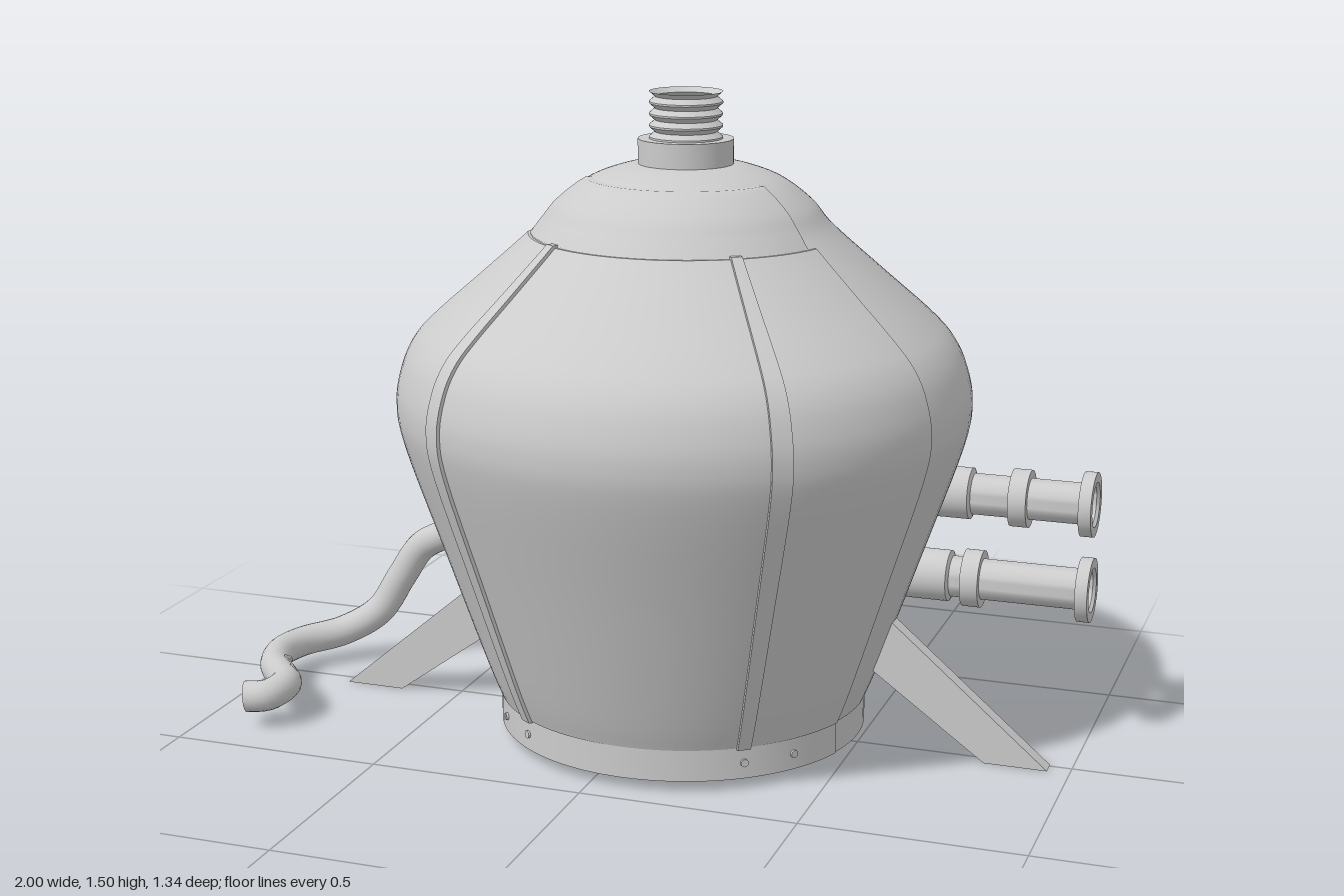
import * as THREE from 'three';
import { toCreasedNormals } from 'three/addons/utils/BufferGeometryUtils.js';

const mat = new THREE.MeshStandardMaterial({ color: 0xcccccc, side: THREE.DoubleSide });
const V2 = (p) => new THREE.Vector2(p[0], p[1]);
const V3 = (p) => new THREE.Vector3(...p);
const rad = THREE.MathUtils.degToRad;

function add(parent, name, geometry) {
  const mesh = new THREE.Mesh(geometry, mat);
  mesh.name = name;
  parent.add(mesh);
  return mesh;
}

// Full turned part with crisp corners
const turned = (pts, seg = 48) => toCreasedNormals(new THREE.LatheGeometry(pts.map(V2), seg), 0.6);

// Vessel silhouette: radius, height
const curve = new THREE.SplineCurve([
  [0.428, 0.1], [0.463, 0.19], [0.553, 0.45], [0.638, 0.7], [0.655, 0.8], [0.64, 0.88], [0.61, 0.94],
  [0.56, 0.993], [0.457, 1.083], [0.337, 1.19], [0.288, 1.248], [0.222, 1.298], [0.15, 1.326], [0.1, 1.335],
].map(V2));
const wall = curve.getPoints(78);

// Part of the wall between two heights, pushed out along its normal
function wallSlice(y0, y1, d) {
  const out = [];
  wall.forEach((p, i) => {
    if (p.y < y0 - 1e-6 || p.y > y1) return;
    const a = wall[Math.max(i - 1, 0)], b = wall[Math.min(i + 1, wall.length - 1)];
    const t = b.clone().sub(a).normalize();
    out.push([p.x + t.y * d, p.y - t.x * d]);
  });
  return out;
}

// Curved plate: outer profile thickened inward, swept between two angles (0 = front), ends capped
function plate(parent, name, outer, thick, from, to) {
  const inner = outer.map(([r, y]) => [r - thick, y]).reverse();
  const loop = [...outer, ...inner, outer[0]].map(V2);
  const seg = Math.max(2, Math.ceil((to - from) / 3));
  const group = new THREE.Group();
  group.name = name;
  parent.add(group);
  add(group, name + 'Skin', toCreasedNormals(
    new THREE.LatheGeometry(loop, seg, rad(from), rad(to - from)), 0.6));
  for (const a of [from, to]) {
    add(group, name + 'End', new THREE.ShapeGeometry(new THREE.Shape(loop))).rotation.y = rad(a - 90);
  }
}

export function createModel() {
  const model = new THREE.Group();
  const vessel = new THREE.Group();
  vessel.name = 'vessel';
  vessel.position.set(0.079, 0, 0.013);
  model.add(vessel);

  // Main shell, hollow base ring and the floor recessed above it
  add(vessel, 'shell', new THREE.LatheGeometry(wall, 96));
  add(vessel, 'baseRing', turned([[0, 0.1], [0.415, 0.1], [0.415, 0.025], [0.425, 0.025], [0.425, 0.1]], 96));

  // Front cladding, its two ribs, the hood above and the riveted band below
  plate(vessel, 'frontPanel', wallSlice(0.1, 1.18, 0.004), 0.02, -72, 72);
  for (const s of [-1, 1]) {
    const c = s * 36.3;
    plate(vessel, 'rib', wallSlice(0.1, 1.18, 0.012), 0.03, c - 2, c + 2);
  }
  plate(vessel, 'hood', [[0.35, 1.18], ...wallSlice(1.2, 1.3, 0.007)], 0.02, -68, 68);
  plate(vessel, 'frontBand', [[0.429, 0.025], [0.429, 0.1]], 0.016, -72, 72);
  for (const x of [-0.338, -0.252, 0.252, 0.338]) {
    const rivet = add(vessel, 'rivet', new THREE.CylinderGeometry(0.009, 0.009, 0.026, 12).rotateX(Math.PI / 2));
    const z = Math.sqrt(0.421 ** 2 - x * x);
    rivet.position.set(x, 0.062, z);
    rivet.rotation.y = Math.atan2(x, z);
  }

  // Rear access panel with a slightly raised centre
  plate(vessel, 'rearPanel', [[0.508, 0.195], [0.682, 0.705]], 0.05, 180 - 52.3, 180 + 52.3);
  plate(vessel, 'rearPanelCentre', [[0.522, 0.228], [0.671, 0.665]], 0.02, 180 - 47, 180 + 47);

  // Neck collar and thin zigzag threaded spout
  add(vessel, 'neckCollar', turned([[0.108, 1.32], [0.108, 1.39], [0, 1.39]]));
  const thread = [[0.083, 1.39]];
  for (let i = 0; i < 4; i++) {
    const y = 1.39 + i * 0.02625;
    thread.push([0.083, y + 0.004], [0.07, y + 0.015], [0.083, y + 0.02625]);
  }
  add(vessel, 'threadedSpout', turned(thread));

  // Two slanted side legs
  const legShape = new THREE.Shape(
    [[0.87, 0], [0.725, 0], [0.4, 0.235], [0.4, 0.31], [0.505, 0.31]].map(V2));
  for (const s of [0, Math.PI]) {
    const geo = new THREE.ExtrudeGeometry(legShape, { depth: 0.04, bevelEnabled: false });
    geo.translate(0, 0, -0.02);
    add(vessel, 'leg', geo).rotation.y = s;
  }

  // Flanged outlet pipes: base x, base end x, ring x, height
  for (const [x0, x1, ring, y] of [[0.56, 0.71, 0.805, 0.567], [0.5, 0.665, 0.7, 0.363]]) {
    const pipe = add(model, 'outletPipe', turned([
      [0, x0], [0.045, x0 + 0.01], [0.06, x0 + 0.04], [0.06, x1], [0.048, x1 + 0.005],
      [0.048, ring], [0.067, ring], [0.067, ring + 0.042], [0.048, ring + 0.042],
      [0.048, 0.968], [0.075, 0.968], [0.075, 0.997], [0.052, 0.997], [0.046, 0.99], [0.046, 0.93], [0, 0.93],
    ], 32));
    pipe.rotation.z = -Math.PI / 2;
    pipe.position.set(0, y, -0.194);
  }

  // Hose socket with two clamp rings
  const socket = add(model, 'hoseSocket', turned([
    [0, -0.06], [0.082, -0.06], [0.082, 0.085], [0.095, 0.09], [0.095, 0.108], [0.082, 0.112],
    [0.082, 0.126], [0.095, 0.13], [0.095, 0.148], [0.068, 0.152], [0.06, 0.17], [0.036, 0.175],
  ], 32));
  socket.position.set(-0.437, 0.455, -0.168);
  socket.quaternion.setFromUnitVectors(V3([0, 1, 0]), V3([-0.81, -0.58, -0.06]).normalize());

  // Drooping hose with an open end
  const path = new THREE.CatmullRomCurve3([
    [-0.54, 0.38, -0.176], [-0.61, 0.342, -0.178], [-0.68, 0.302, -0.176], [-0.735, 0.22, -0.168],
    [-0.79, 0.13, -0.15], [-0.87, 0.08, -0.11], [-0.945, 0.068, -0.03], [-0.963, 0.066, 0.05],
    [-0.93, 0.068, 0.15], [-0.865, 0.075, 0.235], [-0.825, 0.082, 0.3], [-0.84, 0.075, 0.36], [-0.89, 0.07, 0.375],
  ].map(V3));
  add(model, 'hose', new THREE.TubeGeometry(path, 100, 0.037, 20));
  add(model, 'hoseBore', new THREE.TubeGeometry(path, 100, 0.03, 20));

  return model;
}
